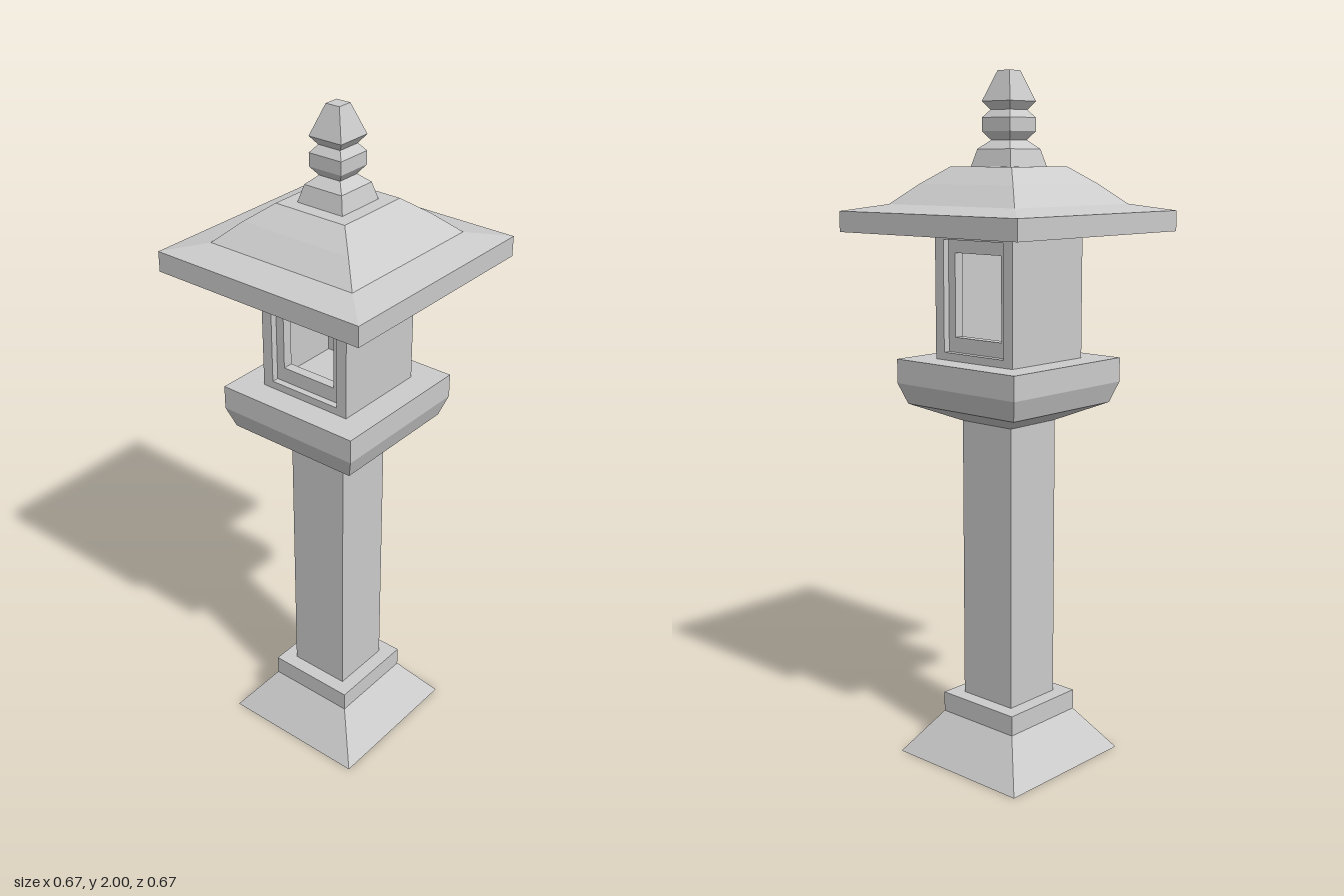
import * as THREE from 'three';

const stone = new THREE.MeshStandardMaterial({ color: 0xcccccc, flatShading: true });

function add(group, name, geometry) {
  const mesh = new THREE.Mesh(geometry, stone);
  mesh.name = name;
  group.add(mesh);
  return mesh;
}

// Square solid from a bottom-to-top profile of [half width, height]
function squareTurned(profile) {
  const points = [
    [0, profile[0][1]], ...profile, [0, profile[profile.length - 1][1]],
  ].map(([half, y]) => new THREE.Vector2(half * Math.SQRT2, y));
  return new THREE.LatheGeometry(points, 4, Math.PI / 4);
}

function rectangle(target, half, bottom, top) {
  target.moveTo(-half, bottom);
  target.lineTo(half, bottom);
  target.lineTo(half, top);
  target.lineTo(-half, top);
  target.closePath();
  return target;
}

// Rectangular frame, open along x, centred on x = 0
function openFrame(outer, inner, depth) {
  const shape = rectangle(new THREE.Shape(), ...outer);
  shape.holes.push(rectangle(new THREE.Path(), ...inner));
  const geometry = new THREE.ExtrudeGeometry(shape, { depth, bevelEnabled: false });
  geometry.translate(0, 0, -depth / 2);
  geometry.rotateY(Math.PI / 2);
  return geometry;
}

export function createModel() {
  const lantern = new THREE.Group();
  lantern.name = 'stoneLantern';

  // Foot, plinth and post
  add(lantern, 'foot', squareTurned([[0.23, 0], [0.137, 0.128]]));
  add(lantern, 'plinth', squareTurned([[0.137, 0.128], [0.137, 0.187]]));
  add(lantern, 'post', squareTurned([[0.094, 0.187], [0.094, 1.02]]));

  // Flared platform under the light chamber
  add(lantern, 'platform', squareTurned([
    [0.096, 1.02], [0.205, 1.07], [0.226, 1.13], [0.226, 1.2],
  ]));

  // Light chamber, open on both sides, with a recessed window frame in each
  const chamberOpening = [0.114, 1.222, 1.54];
  add(lantern, 'lightChamber', openFrame([0.147, 1.2, 1.56], chamberOpening, 0.294));
  for (const side of [-1, 1]) {
    const frame = add(lantern, side > 0 ? 'leftWindowFrame' : 'rightWindowFrame',
      openFrame(chamberOpening, [0.088, 1.265, 1.503], 0.03));
    frame.position.x = side * 0.112;
  }

  // Hipped roof with a shallow eave
  add(lantern, 'roof', squareTurned([
    [0.335, 1.56], [0.335, 1.618], [0.237, 1.637], [0.176, 1.693], [0.115, 1.74],
  ]));

  // Finial: base, neck, collar and tapered tip
  add(lantern, 'finial', squareTurned([
    [0.075, 1.74], [0.062, 1.788], [0.035, 1.812], [0.053, 1.836], [0.053, 1.873],
    [0.036, 1.894], [0.053, 1.917], [0.022, 2],
  ]));

  return lantern;
}
